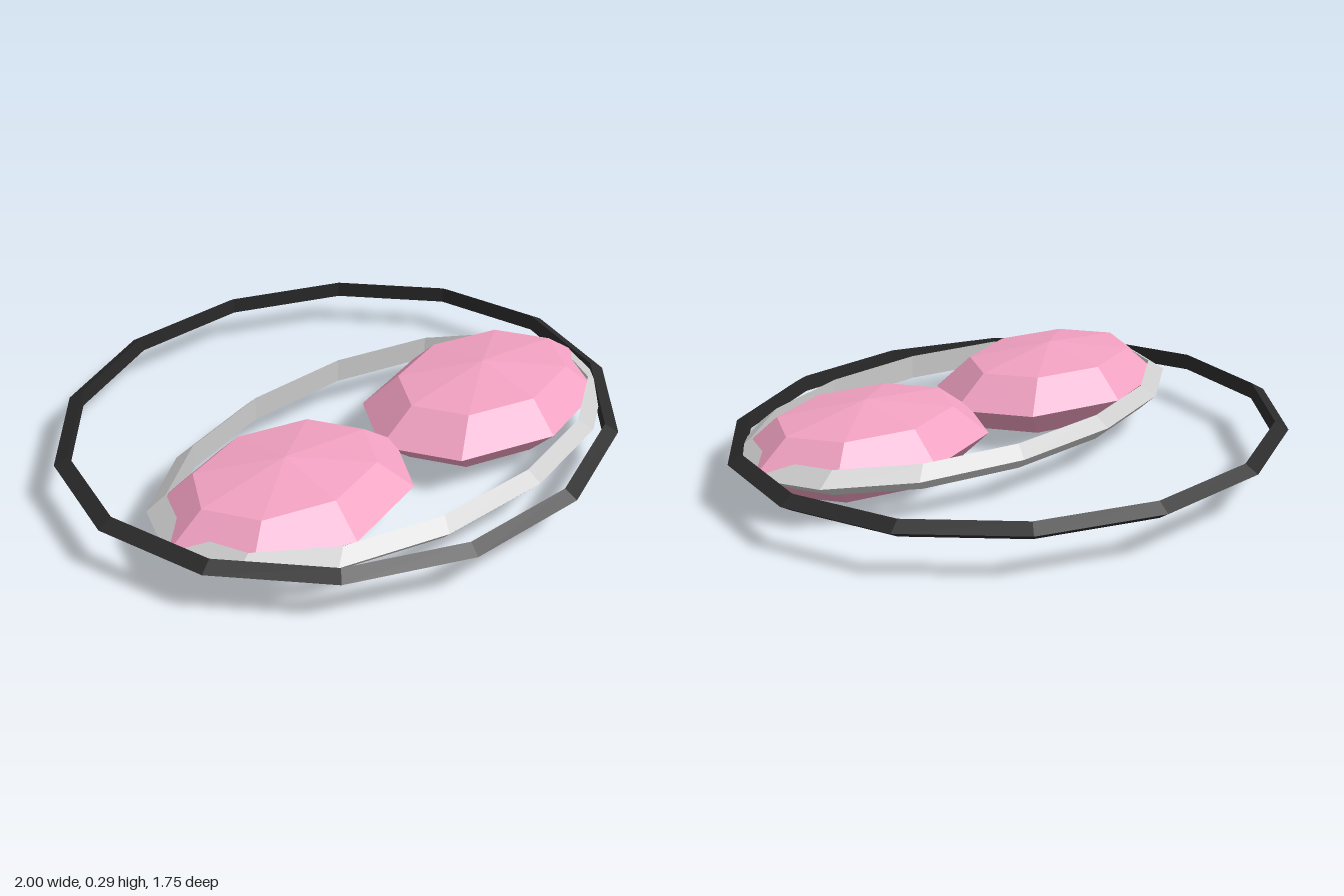
import * as THREE from 'three';

const MID_Y = 0.145;

function material(color) {
  return new THREE.MeshStandardMaterial({ color, flatShading: true });
}

// Flat 14-sided hoop with a triangular section, ridge pointing outwards
function hoop(name, outerX, outerZ, thickness, z, color) {
  const geometry = new THREE.TorusGeometry(outerX - thickness, thickness, 3, 14);
  geometry.rotateX(Math.PI / 2);
  geometry.scale(1, 1, outerZ / outerX);
  const mesh = new THREE.Mesh(geometry, material(color));
  mesh.name = name;
  mesh.position.set(0, MID_Y, z);
  return mesh;
}

export function createModel() {
  const model = new THREE.Group();
  model.name = 'goggles';

  // Strap and the smaller frame around the lenses
  model.add(hoop('strap', 1, 0.9, 0.033, 0, 0x2a2a2a));
  model.add(hoop('lensFrame', 0.92, 0.511, 0.049, 0.238, 0xcccccc));

  // Two faceted, flattened lenses that just meet in the middle
  const lensGeometry = new THREE.SphereGeometry(1, 8, 4);
  lensGeometry.scale(0.475, MID_Y, 0.338);
  const lensMaterial = material(0xf0a0c0);
  for (const side of [1, -1]) {
    const lens = new THREE.Mesh(lensGeometry, lensMaterial);
    lens.name = side > 0 ? 'leftLens' : 'rightLens';
    lens.position.set(side * 0.443, MID_Y, 0.238);
    model.add(lens);
  }

  return model;
}
